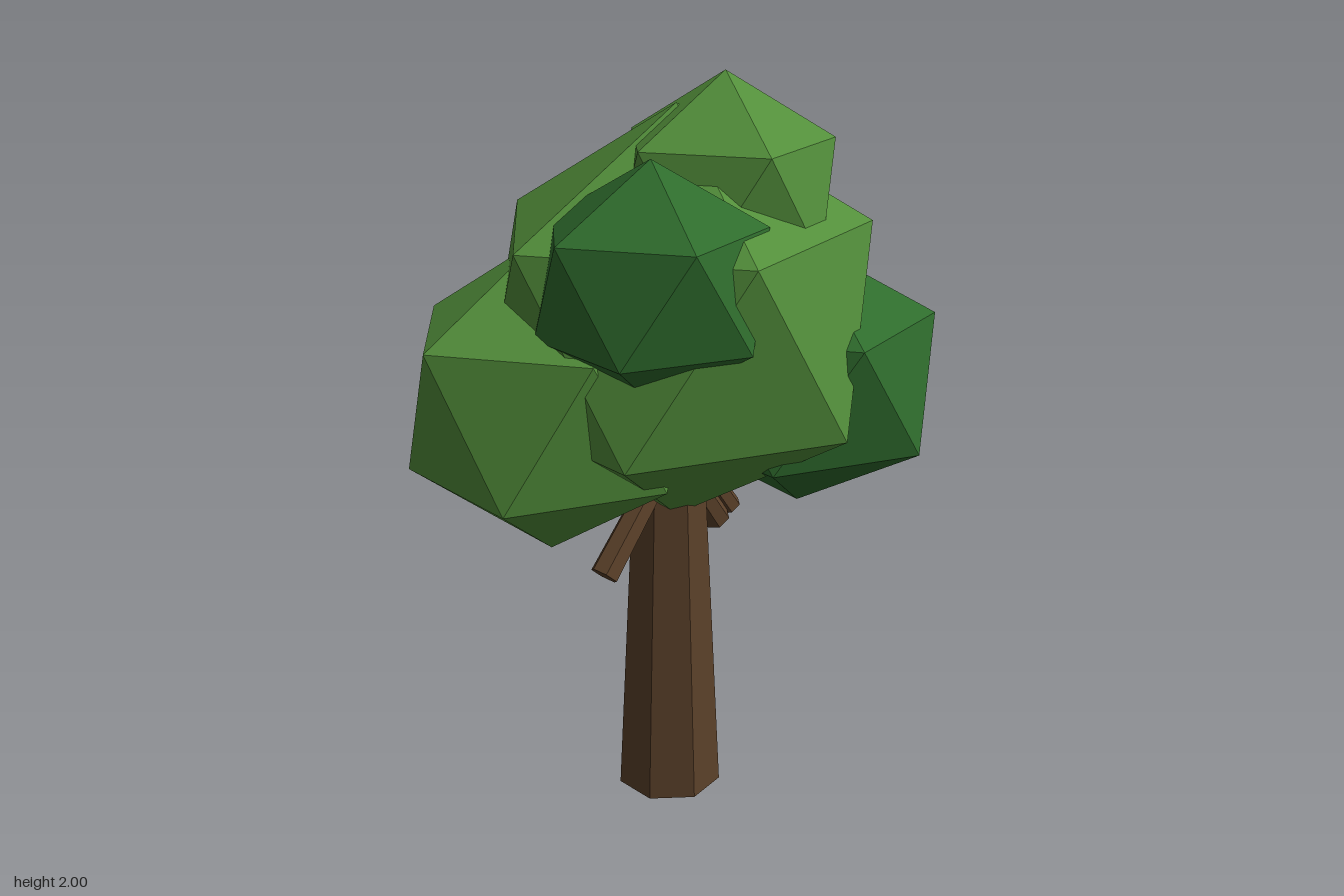
import * as THREE from 'three';
import { ConvexGeometry } from 'three/addons/geometries/ConvexGeometry.js';

const bark = new THREE.MeshStandardMaterial({ color: 0x5a4029 });
bark.name = 'bark brown';
const lightLeaf = new THREE.MeshStandardMaterial({ color: 0x538f3b });
lightLeaf.name = 'light leaf green';
const darkLeaf = new THREE.MeshStandardMaterial({ color: 0x2f6c2d });
darkLeaf.name = 'dark leaf green';

// Faceted upright icosahedron: two poles and two staggered rings of five
function leafClump(name, material, [x, y, z], radius, halfHeight) {
  const points = [new THREE.Vector3(0, halfHeight, 0), new THREE.Vector3(0, -halfHeight, 0)];
  const ring = radius * 2 / Math.sqrt(5), level = halfHeight / Math.sqrt(5);
  for (let i = 0; i < 5; i++) {
    const a = i * Math.PI * 2 / 5;
    points.push(new THREE.Vector3(ring * Math.cos(a), level, ring * Math.sin(a)));
    points.push(new THREE.Vector3(-ring * Math.cos(a), -level, -ring * Math.sin(a)));
  }
  const mesh = new THREE.Mesh(new ConvexGeometry(points), material);
  mesh.name = name;
  mesh.position.set(x, y, z);
  return mesh;
}

// Straight tapered limb from one point to another, with flat sides
function limb(name, from, to, r0, r1, sides) {
  const a = new THREE.Vector3(...from), b = new THREE.Vector3(...to);
  const dir = b.clone().sub(a);
  const geometry = new THREE.CylinderGeometry(r1, r0, dir.length(), sides, 1, false, Math.PI)
    .toNonIndexed();
  geometry.computeVertexNormals();
  const mesh = new THREE.Mesh(geometry, bark);
  mesh.name = name;
  mesh.position.copy(a).add(b).multiplyScalar(0.5);
  mesh.quaternion.setFromUnitVectors(new THREE.Vector3(0, 1, 0), dir.normalize());
  return mesh;
}

export function createModel() {
  const tree = new THREE.Group();
  tree.name = 'tree';

  // Trunk and the short branches under the crown
  tree.add(
    limb('trunk', [-0.018, 0, 0.045], [-0.018, 0.9, 0.045], 0.144, 0.1, 7),
    limb('frontBranch', [-0.2, 0.72, 0.24], [-0.04, 0.96, 0.09], 0.04, 0.035, 6),
    limb('backBranch', [0.13, 0.72, -0.12], [0.0, 0.96, -0.02], 0.038, 0.032, 6),
    limb('sideBranch', [0.17, 0.74, -0.16], [0.03, 0.97, -0.1], 0.032, 0.028, 6),
  );

  // Crown
  tree.add(
    leafClump('mainFoliage', lightLeaf, [0.0, 1.37, 0.075], 0.56, 0.55),
    leafClump('topFoliage', lightLeaf, [0.12, 1.695, 0.085], 0.31, 0.305),
    leafClump('rightSideFoliage', lightLeaf, [-0.335, 1.185, 0.15], 0.405, 0.42),
    leafClump('backFoliage', lightLeaf, [0.025, 1.13, -0.3], 0.385, 0.355),
    leafClump('leftSideFoliage', darkLeaf, [0.34, 1.175, -0.03], 0.4, 0.365),
    leafClump('frontFoliage', darkLeaf, [-0.08, 1.54, 0.37], 0.315, 0.3),
  );
  return tree;
}
